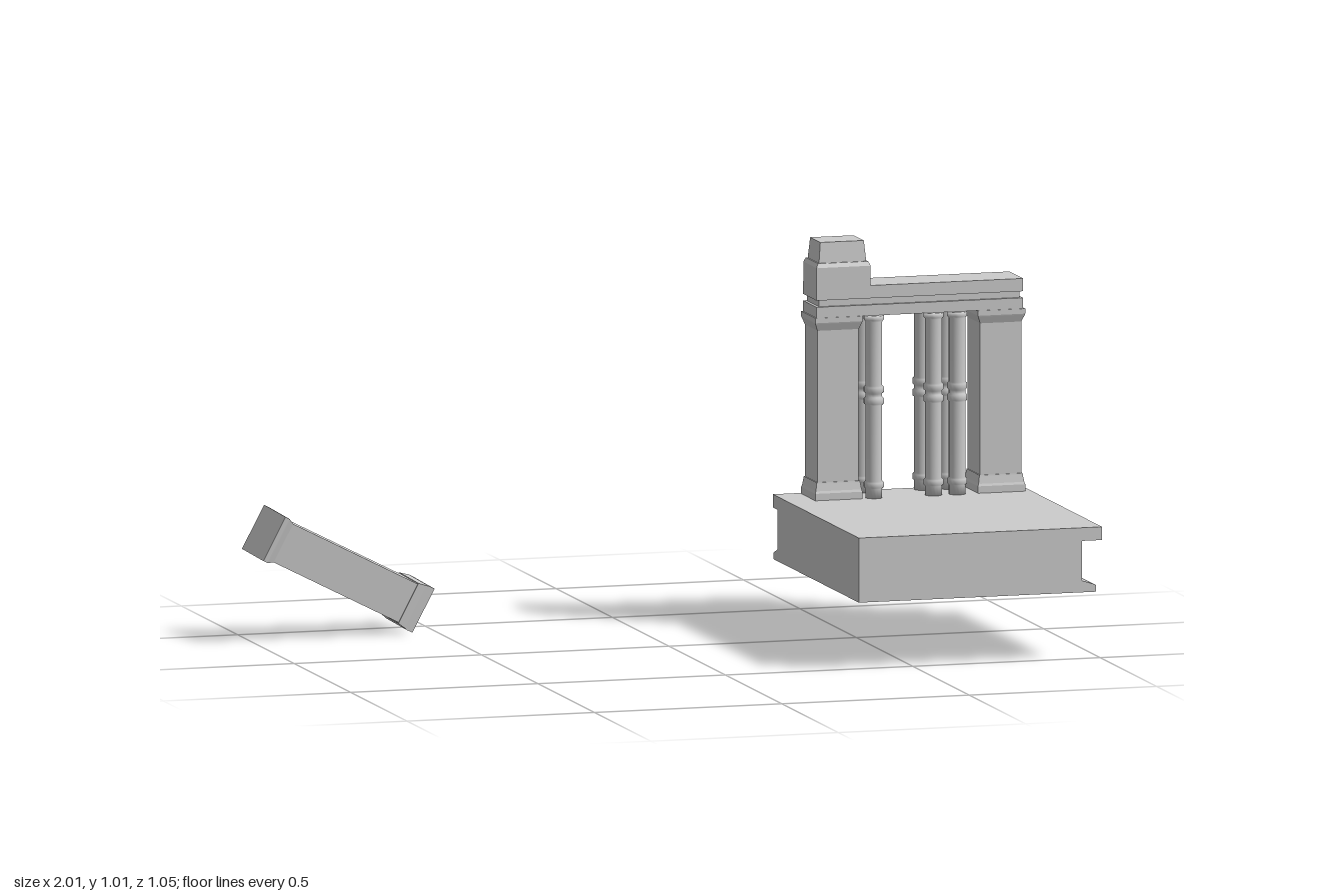
import * as THREE from 'three';

const material = new THREE.MeshStandardMaterial({ color: 0xcccccc, flatShading: true });
const smooth = new THREE.MeshStandardMaterial({ color: 0xcccccc });

// Stack of rectangular cross-sections: [y, x0, x1, z0, z1]
function loft(rings) {
  const tri = [];
  const loops = rings.map(([y, x0, x1, z0, z1]) =>
    [[x0, y, z1], [x1, y, z1], [x1, y, z0], [x0, y, z0]]);
  const quad = (a, b, c, d) => tri.push(...a, ...b, ...c, ...a, ...c, ...d);
  for (let i = 0; i < loops.length - 1; i++) {
    for (let k = 0; k < 4; k++) {
      const n = (k + 1) % 4;
      quad(loops[i][k], loops[i][n], loops[i + 1][n], loops[i + 1][k]);
    }
  }
  const [a, b, c, d] = loops[0];
  quad(d, c, b, a);
  quad(...loops[loops.length - 1]);
  const geo = new THREE.BufferGeometry();
  geo.setAttribute('position', new THREE.Float32BufferAttribute(tri, 3));
  geo.computeVertexNormals();
  return geo;
}

function add(parent, name, geo, mat = material) {
  const mesh = new THREE.Mesh(geo, mat);
  mesh.name = name;
  parent.add(mesh);
  return mesh;
}

// Square pier standing on y = 0: plinth, sloped foot, shaft, flared cap
function pierGeometry(height) {
  const rings = [
    [0, 0.063], [0.018, 0.063], [0.024, 0.061], [0.042, 0.058], [0.046, 0.0575],
    [0.046, 0.055], [height - 0.034, 0.055], [height - 0.016, 0.062],
    [height - 0.013, 0.063], [height, 0.063]
  ];
  return loft(rings.map(([y, h]) => [y, -h, h, -h, h]));
}

// Round column with a foot ring, a double ring at mid-height and a cap
function columnGeometry(height) {
  const r = 0.0215, R = 0.026;
  const pts = [[0, 0], [0, r]];
  const ring = (y0, y1) => pts.push(
    [y0, r], [y0 + 0.004, R], [y1 - 0.004, R], [y1, r]);
  ring(0.024, 0.044);
  ring(0.24, 0.261);
  ring(0.27, 0.291);
  pts.push([height - 0.016, r], [height - 0.011, R], [height, R], [height, 0]);
  const geo = new THREE.LatheGeometry(pts.map(([y, x]) => new THREE.Vector2(x, y)), 16);
  return geo;
}

export function createModel() {
  const model = new THREE.Group();
  model.name = 'ruin';
  const floor = 0.342, pierHeight = 0.472, wallZ = -0.16;

  // Floor block, recessed on its outer right and back sides
  const x0 = 0.348, z1 = 0.527;
  const baseRings = [
    [0.175, 0.981, -0.228], [0.192, 0.981, -0.228], [0.196, 0.972, -0.218],
    [0.205, 0.944, -0.194], [0.308, 0.944, -0.194], [0.308, 0.997, -0.234],
    [floor, 0.997, -0.234]
  ];
  add(model, 'floorBlock', loft(baseRings.map(([y, x, z]) => [y, x0, x, z, z1])));

  // Small ribs with pointed feet along the two recessed sides
  const ribShape = new THREE.Shape([
    [-0.009, 0.31], [-0.009, 0.204], [0, 0.194], [0.009, 0.204], [0.009, 0.31]
  ].map(p => new THREE.Vector2(...p)));
  const ribGeo = new THREE.ExtrudeGeometry(ribShape, { depth: 0.03, bevelEnabled: false });
  const ribs = new THREE.Group();
  ribs.name = 'baseRibs';
  model.add(ribs);
  for (let i = 0; i < 6; i++) {
    const side = add(ribs, 'sideRib', ribGeo);
    side.rotation.y = Math.PI / 2;
    side.position.set(0.934, 0, -0.107 + i * 0.1055);
    if (i < 5) {
      const back = add(ribs, 'backRib', ribGeo);
      back.rotation.y = Math.PI;
      back.position.set(0.857 - i * 0.1055, 0, -0.184);
    }
  }

  // Standing piers
  const pierGeo = pierGeometry(pierHeight);
  for (const [name, x] of [['rightPier', 0.483], ['leftPier', 0.917]]) {
    add(model, name, pierGeo).position.set(x, floor, wallZ);
  }

  // Two rows of slender columns
  const columnGeo = columnGeometry(pierHeight);
  const columns = new THREE.Group();
  columns.name = 'columns';
  model.add(columns);
  for (const x of [0.579, 0.738, 0.801]) {
    for (const z of [-0.107, -0.205]) {
      add(columns, 'column', columnGeo, smooth).position.set(x, floor, z);
    }
  }

  // Grooved beam across the piers
  const beam = [[0.814, 0], [0.842, 0], [0.842, 0.008], [0.859, 0.008], [0.859, 0], [0.892, 0]];
  add(model, 'beam', loft(beam.map(([y, i]) =>
    [y, 0.424 + i, 0.975 - i, -0.22 + i, -0.099 - i])));

  // Stepped, tapering block on the beam's end
  const block = [[0.885, 0], [0.943, 0], [0.954, 0.005], [0.954, 0.009], [1.007, 0.014]];
  add(model, 'endBlock', loft(block.map(([y, i]) =>
    [y, 0.424 + i, 0.568 - i, -0.217 + i, -0.099 - i])));

  // Loose pier lying aslant, away from the floor
  const low = new THREE.Vector3(-0.544, 0.0625, -0.463);
  const high = new THREE.Vector3(-0.97, 0.281, -0.369);
  const yAxis = high.clone().sub(low);
  const length = yAxis.length();
  yAxis.normalize();
  const xAxis = yAxis.clone().cross(new THREE.Vector3(0.02, -0.014, 0.122)).normalize();
  const zAxis = xAxis.clone().cross(yAxis);
  const fallen = add(model, 'fallenPier', pierGeometry(length));
  fallen.quaternion.setFromRotationMatrix(new THREE.Matrix4().makeBasis(xAxis, yAxis, zAxis));
  fallen.position.copy(low);

  return model;
}
